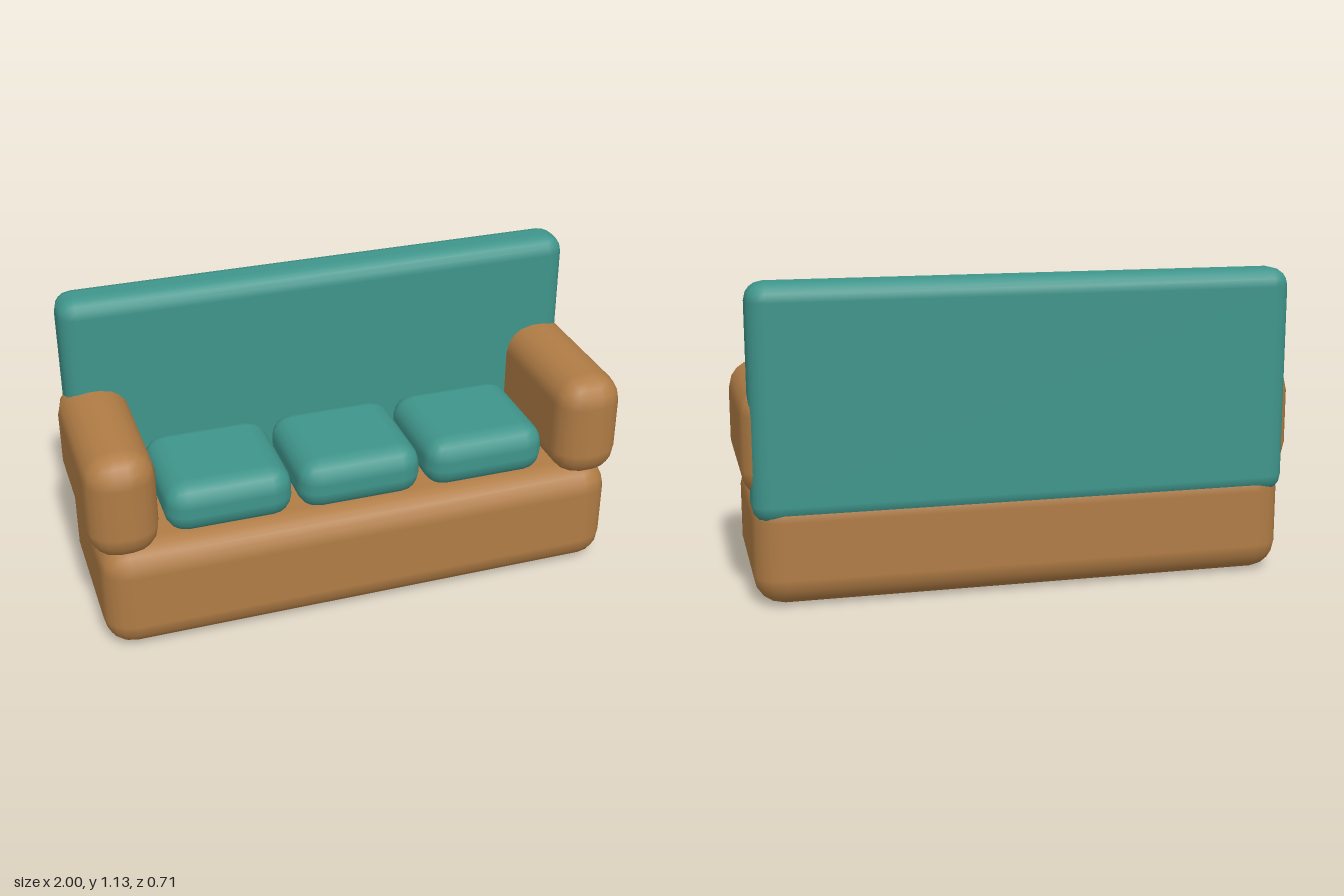
import * as THREE from 'three';
import { RoundedBoxGeometry } from 'three/addons/geometries/RoundedBoxGeometry.js';

export function createModel() {
  const group = new THREE.Group();
  group.name = 'sofa';

  const tan = new THREE.MeshStandardMaterial({ color: 0xb07c45 });
  tan.name = 'tan frame';
  const teal = new THREE.MeshStandardMaterial({ color: 0x3f958b });
  teal.name = 'teal upholstery';

  // Rounded block given by its min and max extents on each axis
  function block(name, material, [x0, x1], [y0, y1], [z0, z1], radius) {
    const geometry = new RoundedBoxGeometry(x1 - x0, y1 - y0, z1 - z0, 2, radius);
    const mesh = new THREE.Mesh(geometry, material);
    mesh.name = name;
    mesh.position.set((x0 + x1) / 2, (y0 + y1) / 2, (z0 + z1) / 2);
    group.add(mesh);
  }

  // Base and backrest
  block('base', tan, [-0.97, 0.97], [0, 0.415], [-0.35, 0.353], 0.105);
  block('backrest', teal, [-0.97, 0.97], [0.3, 1.13], [-0.352, -0.177], 0.065);

  // Armrests
  block('leftArm', tan, [0.747, 1], [0.375, 0.78], [-0.342, 0.353], 0.105);
  block('rightArm', tan, [-1, -0.747], [0.375, 0.78], [-0.342, 0.353], 0.105);

  // Seat cushions
  ['right', 'middle', 'left'].forEach((side, i) => {
    const x = (i - 1) * 0.486;
    block(side + 'Cushion', teal, [x - 0.233, x + 0.233], [0.395, 0.59], [-0.175, 0.283], 0.08);
  });

  return group;
}
